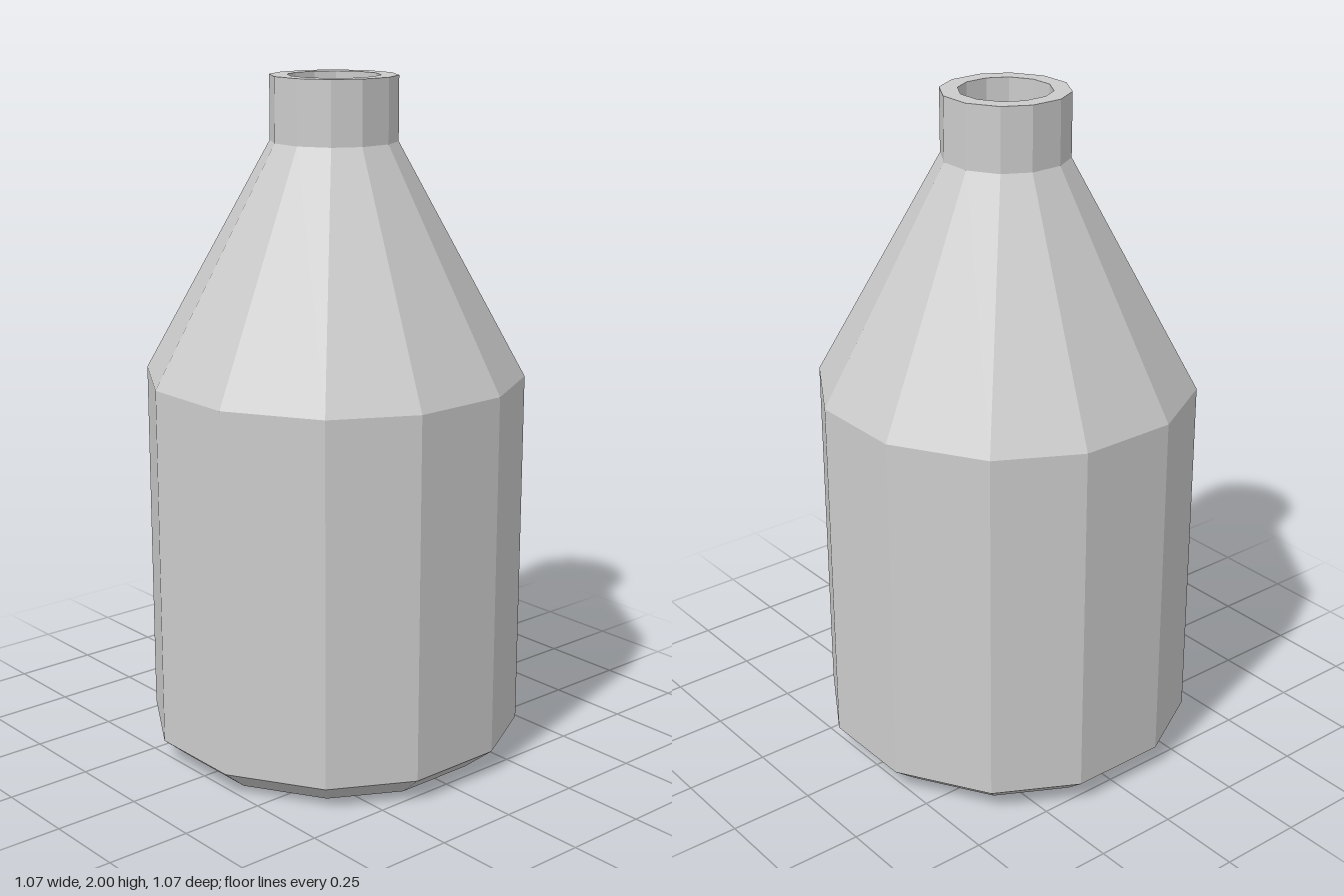
import * as THREE from 'three';

// Slightly uneven twelve-sided section, one quadrant, as fractions of the half width
const QUADRANT = [[0.277, 1], [0.712, 0.761], [1, 0.277]];
const SECTION = [];
for (let i = 0; i < 12; i++) {
  const q = Math.floor(i / 3);
  const [x, z] = QUADRANT[q % 2 ? 2 - (i % 3) : i % 3];
  SECTION.push([q < 2 ? x : -x, q === 0 || q === 3 ? z : -z]);
}

// Lathe whose rings are fitted to the section; profile holds [half width, height]
function facetedLathe(name, profile, material) {
  const points = profile.map(([r, y]) => new THREE.Vector2(r, y));
  const lathe = new THREE.LatheGeometry(points, 12, Math.PI / 12);
  const pos = lathe.attributes.position;
  for (let i = 0; i <= 12; i++) {
    const [x, z] = SECTION[i % 12];
    profile.forEach(([r, y], j) => pos.setXYZ(i * profile.length + j, x * r, y, z * r));
  }
  const geometry = lathe.toNonIndexed();
  geometry.computeVertexNormals();
  const mesh = new THREE.Mesh(geometry, material);
  mesh.name = name;
  return mesh;
}

export function createModel() {
  const group = new THREE.Group();
  group.name = 'bottle';
  const material = new THREE.MeshStandardMaterial({ color: 0xcccccc, flatShading: true });

  // Base with chamfer, straight body and tapering shoulder
  group.add(facetedLathe('body', [[0, 0], [0.452, 0], [0.535, 0.07], [0.535, 1.14], [0.177, 1.815]], material));

  // Neck, flat rim and the recessed mouth
  group.add(facetedLathe('neck', [[0.177, 1.815], [0.177, 2], [0.128, 2], [0.128, 1.815], [0, 1.815]], material));

  return group;
}
